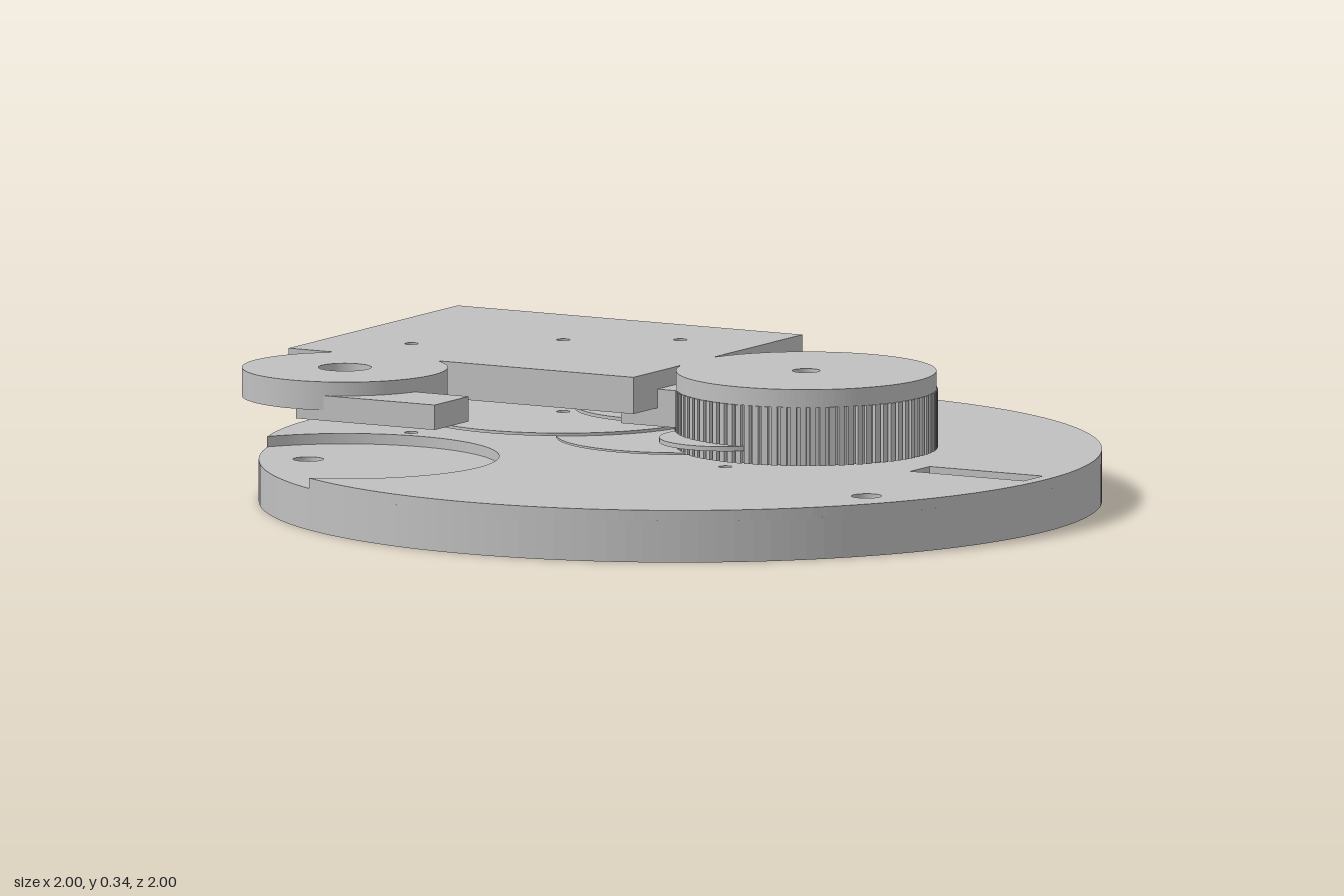
import * as THREE from 'three';

const metal = new THREE.MeshStandardMaterial({ color: 0xc0c0c0 });
metal.name = 'plainGrey';

const circle = (x, z, r, Type = THREE.Path) => new Type().absarc(x, z, r, 0, Math.PI * 2, false);
const disc = (x, z, r) => circle(x, z, r, THREE.Shape);
const rect = (x0, z0, x1, z1, Type = THREE.Shape) => new Type([
  new THREE.Vector2(x0, z0), new THREE.Vector2(x1, z0),
  new THREE.Vector2(x1, z1), new THREE.Vector2(x0, z1),
]);

// Extrudes an outline drawn in (x, z) between two heights
function slab(name, shape, y0, y1, holes = []) {
  shape.holes.push(...holes);
  const geo = new THREE.ExtrudeGeometry(shape, { depth: y1 - y0, bevelEnabled: false, curveSegments: 72 });
  geo.rotateX(Math.PI / 2).translate(0, y1, 0);
  // smooth normals on round walls, taken from the nearest circular edge
  const mesh = new THREE.Mesh(geo, metal);
  mesh.name = name;
  return mesh;
}

// Toothed outline with square teeth
function gearOutline(cx, cz, r, depth, teeth) {
  const pts = [];
  for (let i = 0; i < teeth; i++) {
    [[0, r], [0.6, r], [0.65, r - depth], [0.95, r - depth]].forEach(([f, rad]) => {
      const a = ((i + f) / teeth) * Math.PI * 2;
      pts.push(new THREE.Vector2(cx + Math.cos(a) * rad, cz + Math.sin(a) * rad));
    });
  }
  return new THREE.Shape(pts);
}

// Disc outline with a round bite taken from its rim
function bittenDisc(px, pz, pr) {
  const d = Math.hypot(px, pz), dir = Math.atan2(pz, px);
  const along = (d * d + 1 - pr * pr) / (2 * d);
  const rimHalf = Math.acos(along), biteHalf = Math.acos((along - d) / pr);
  const s = new THREE.Shape();
  s.absarc(0, 0, 1, dir + rimHalf, dir - rimHalf + Math.PI * 2, false);
  s.absarc(px, pz, pr, dir - biteHalf, dir + biteHalf, true);
  return s;
}

export function createModel() {
  const model = new THREE.Group();
  model.name = 'gearMechanism';

  // Shaft positions shared by base, plate and gears
  const wheel = [0.345, 0], small = [0.238, 0.198], middle = [0, 0];
  const second = [-0.165, -0.285], third = [-0.405, -0.145], last = [-0.685, 0.09];
  const knob = [-0.63, 0.5];
  const pin = 0.016;

  // Base disc: through holes, blind screw holes and a shallow round pocket
  const through = () => [
    circle(...wheel, 0.031), ...[small, middle, second, third, last].map((p) => circle(...p, pin)),
    rect(0.655, -0.048, 0.965, 0.042, THREE.Path),
  ];
  const screws = [[0, -0.885], [0.765, 0.44], [-0.765, 0.44]].map((p) => () => circle(...p, 0.036));
  const base = new THREE.Group();
  base.name = 'base';
  base.add(
    slab('baseFloor', disc(0, 0, 1), 0, 0.04, through()),
    slab('baseBody', disc(0, 0, 1), 0.04, 0.1, [...through(), ...screws.map((f) => f())]),
    slab('baseTop', bittenDisc(...knob, 0.366), 0.1, 0.125, [...through(), screws[0](), screws[1]()]),
  );
  model.add(base);

  // Thin gear train, stacked in layers
  [
    ['middleGear', middle, 0.295, 0.154, 0.159],
    ['thirdGear', third, 0.352, 0.159, 0.166],
    ['secondGear', second, 0.25, 0.174, 0.182],
    ['smallGear', small, 0.157, 0.185, 0.196],
  ].forEach(([name, p, r, y0, y1]) => model.add(slab(name, disc(...p, r), y0, y1, [circle(...p, pin)])));

  // Ribbed thumb wheel with a smooth top rim
  const drive = new THREE.Group();
  drive.name = 'thumbWheel';
  drive.add(
    slab('wheelRibs', gearOutline(...wheel, 0.312, 0.01, 84), 0.155, 0.295),
    slab('wheelRim', disc(...wheel, 0.309), 0.295, 0.338, [circle(...wheel, 0.033)]),
  );
  model.add(drive);

  // Cover plate and the block beneath its edge
  model.add(
    slab('coverPlate', rect(-0.9, -0.5, 0.045, 0.3), 0.25, 0.338,
      [second, third, last].map((p) => circle(...p, pin))),
    slab('plateBlock', rect(-0.055, -0.185, 0.1, 0.185), 0.206, 0.295),
  );

  // Round lug with its side arm
  model.add(
    slab('lug', disc(...knob, 0.244), 0.27, 0.338, [circle(...knob, 0.063)]),
    slab('lugArm', rect(-0.56, 0.57, -0.25, 0.732), 0.245, 0.305),
    slab('lugArmRoot', rect(-0.63, 0.57, -0.56, 0.732), 0.245, 0.27),
  );
  return model;
}
